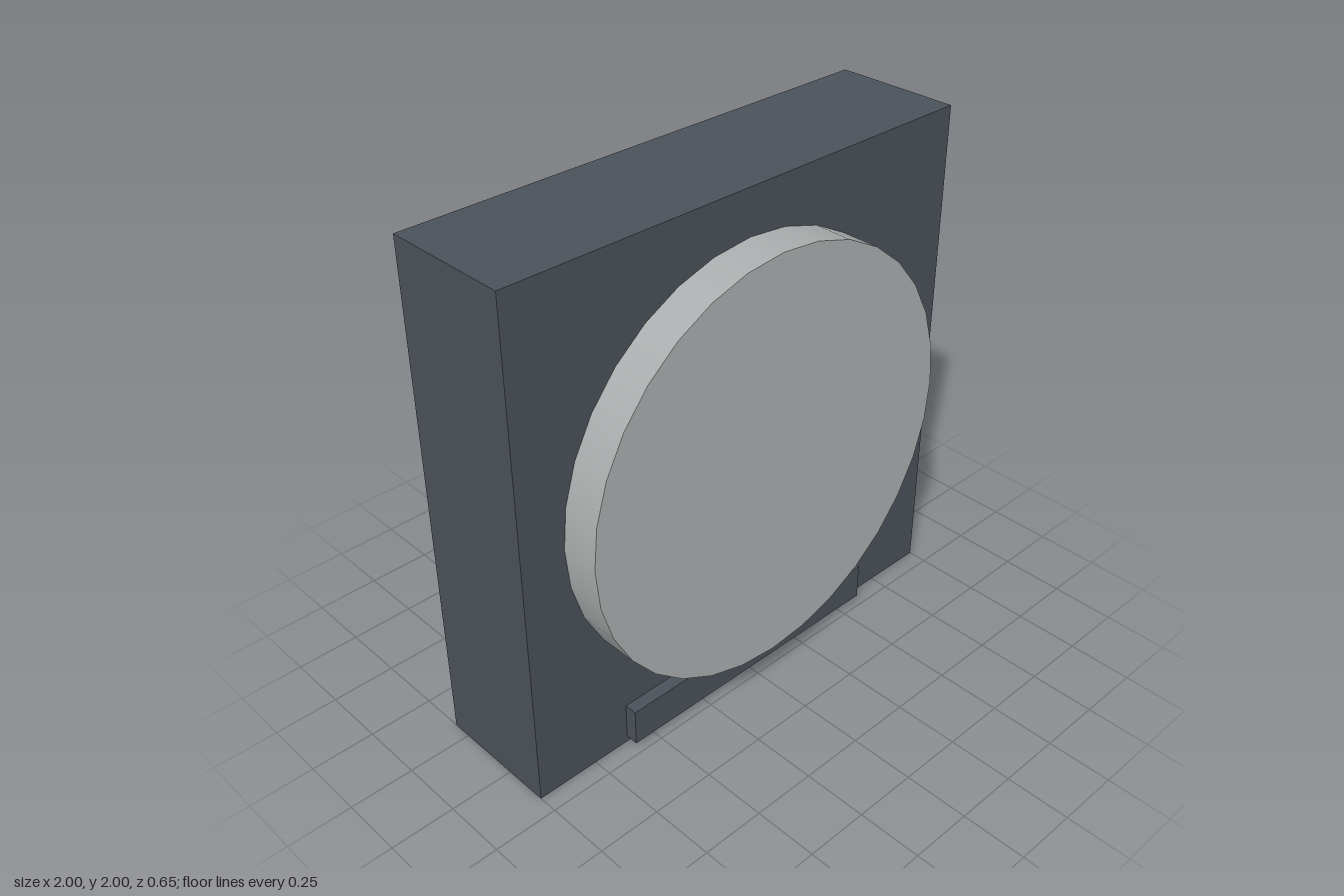
import * as THREE from 'three';

export function createModel() {
  const model = new THREE.Group();
  const slate = new THREE.MeshStandardMaterial({ color: 0x4a5159 });
  slate.name = 'slate';
  const silver = new THREE.MeshStandardMaterial({ color: 0xabadae });
  silver.name = 'silver';

  const add = (name, geometry, material, x, y, z) => {
    const mesh = new THREE.Mesh(geometry, material);
    mesh.name = name;
    mesh.position.set(x, y, z);
    model.add(mesh);
  };

  // square housing
  add('housing', new THREE.BoxGeometry(2, 2, 0.5), slate, 0, 1, -0.075);

  // round face standing proud of the front
  const disc = new THREE.CylinderGeometry(0.825, 0.825, 0.15, 32).rotateX(Math.PI / 2);
  add('disc', disc, silver, 0, 1, 0.25);

  // low ledge under the disc
  add('ledge', new THREE.BoxGeometry(1.2, 0.15, 0.05), slate, 0, 0.1, 0.2);

  return model;
}
